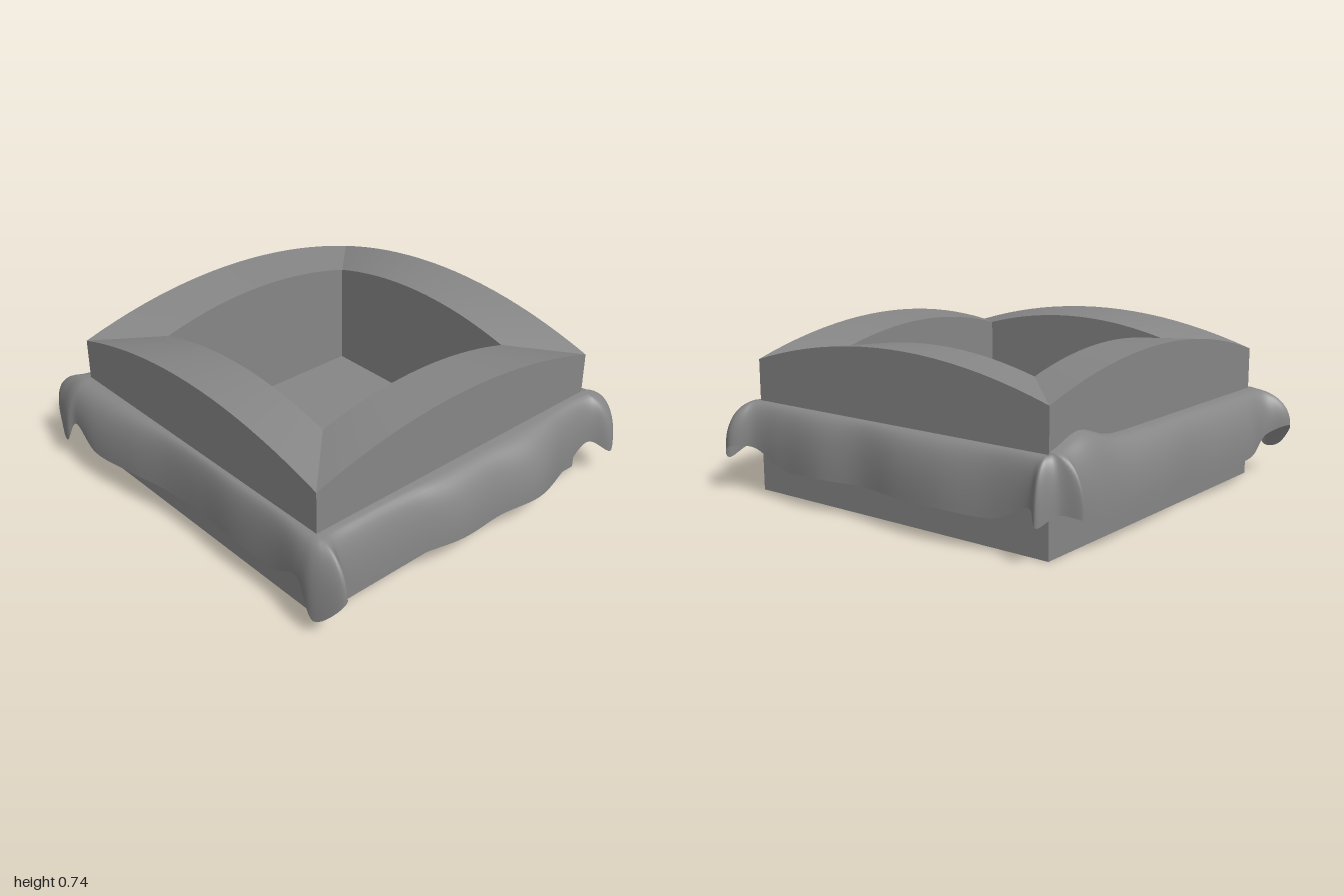
import * as THREE from 'three';
import { toCreasedNormals } from 'three/addons/utils/BufferGeometryUtils.js';

const HALF = 0.805, WELL = 0.535, FLOOR = 0.145, CLOTH_TOP = 0.42;

// Skin a stack of closed loops (each an array of Vector3), bottom to top.
function skin(loops) {
  const n = loops[0].length;
  const index = [];
  for (let j = 0; j < loops.length - 1; j++) {
    for (let i = 0; i < n; i++) {
      const a = j * n + i, b = j * n + (i + 1) % n;
      index.push(a, b, b + n, a, b + n, a + n);
    }
  }
  const geometry = new THREE.BufferGeometry().setFromPoints(loops.flat());
  geometry.setIndex(index);
  geometry.computeVertexNormals();
  return geometry;
}

// Point on side 0 front, 1 +x, 2 back, 3 -x of a square.
function onSide(side, along, out, y) {
  return new THREE.Vector3(along, y, out).applyAxisAngle(new THREE.Vector3(0, 1, 0), side * Math.PI / 2);
}

// Square loop whose height is a function of the position along each side.
function squareLoop(half, height, steps = 20) {
  const loop = [];
  for (let side = 0; side < 4; side++) {
    for (let k = 0; k < steps; k++) {
      const t = -1 + 2 * k / steps;
      loop.push(onSide(side, t * half, half, height(t)));
    }
  }
  return loop;
}

// Hem curve of the cloth: waves on each side, flared points at each corner.
function hemCurve() {
  const along = [-0.77, -0.6, -0.35, -0.12, 0.12, 0.35, 0.6, 0.77];
  const sides = [
    { y: 0.16, out: [0.93, 0.94, 0.91, 0.87, 0.86, 0.87, 0.865, 0.88] },
    { y: 0.135, out: [0.91, 0.9, 0.91, 0.955, 0.95, 0.975, 0.91, 0.9] },
    { y: 0.15, out: [0.89, 0.89, 0.91, 0.88, 0.91, 0.915, 0.88, 0.88] },
    { y: 0.145, out: [0.93, 0.94, 0.945, 0.945, 0.93, 0.945, 0.945, 0.93] },
  ];
  const corners = [
    [[0.88, 0.08, 0.89], [1.0, 0.21, 0.82]],
    [[0.96, 0.14, -0.87], [0.87, 0.22, -0.95]],
    [[-0.82, 0.16, -0.91], [-0.87, 0.2, -0.83], [-0.96, 0.19, -0.79]],
    [[-1.0, 0.25, 0.87], [-0.92, 0.14, 0.92], [-0.83, 0.12, 0.95]],
  ];
  const points = [];
  sides.forEach(({ y, out }, side) => {
    along.forEach((a, k) => {
      const raised = Math.abs(a) > 0.7 ? 0.07 : 0;
      points.push(onSide(side, a, out[k], y + raised));
    });
    corners[side].forEach((c) => points.push(new THREE.Vector3(...c)));
  });
  return new THREE.CatmullRomCurve3(points, true);
}

// Cloth rolls out over its top edge and hangs down to the hem.
function clothGeometry() {
  const curve = hemCurve(), rows = 14, count = 320;
  const { clamp, lerp } = THREE.MathUtils;
  const loops = [];
  for (let j = 0; j <= rows; j++) {
    const v = 1 - j / rows;
    const drop = Math.pow(v, 1.7);
    const loop = [];
    for (let i = 0; i < count; i++) {
      const hem = curve.getPoint(i / count);
      const x = clamp(hem.x, -HALF, HALF);
      const z = clamp(hem.z, -HALF, HALF);
      // Far-flung corner points slope more than the sides.
      const overhang = Math.hypot(hem.x - x, hem.z - z);
      const spread = Math.pow(Math.sin(v * Math.PI / 2), 0.65 + clamp((overhang - 0.13) * 3, 0, 0.2));
      // The cloth rides up a little near the back of its -x side.
      const lift = hem.x < -HALF ? 0.06 * Math.exp(-((hem.z + 0.62) ** 2) / 0.02) : 0;
      loop.push(new THREE.Vector3(
        lerp(x, hem.x, spread),
        lerp(CLOTH_TOP, hem.y, drop) + lift * (1 - v),
        lerp(z, hem.z, spread),
      ));
    }
    loops.push(loop);
  }
  return skin(loops);
}

export function createModel() {
  const group = new THREE.Group();
  const material = new THREE.MeshStandardMaterial({ color: 0x868686, side: THREE.DoubleSide });
  const add = (name, geometry) => {
    const mesh = new THREE.Mesh(geometry, material);
    mesh.name = name;
    group.add(mesh);
    return mesh;
  };

  // Hollow body: outer walls, arched mitred rim, inner well walls.
  const body = skin([
    squareLoop(HALF, () => 0),
    squareLoop(HALF, (t) => 0.735 - 0.127 * t * t),
    squareLoop(WELL, (t) => 0.72 - 0.075 * t * t),
    squareLoop(WELL, () => FLOOR),
  ]);
  add('archedBody', toCreasedNormals(body, 0.35)).position.set(-0.004, 0, -0.004);

  // Floor of the well, seen from above and below
  const floor = new THREE.PlaneGeometry(2 * WELL, 2 * WELL).rotateX(-Math.PI / 2);
  add('wellFloor', floor).position.set(-0.004, FLOOR, -0.004);

  // Draped cloth band
  add('drapedCloth', clothGeometry());

  return group;
}
